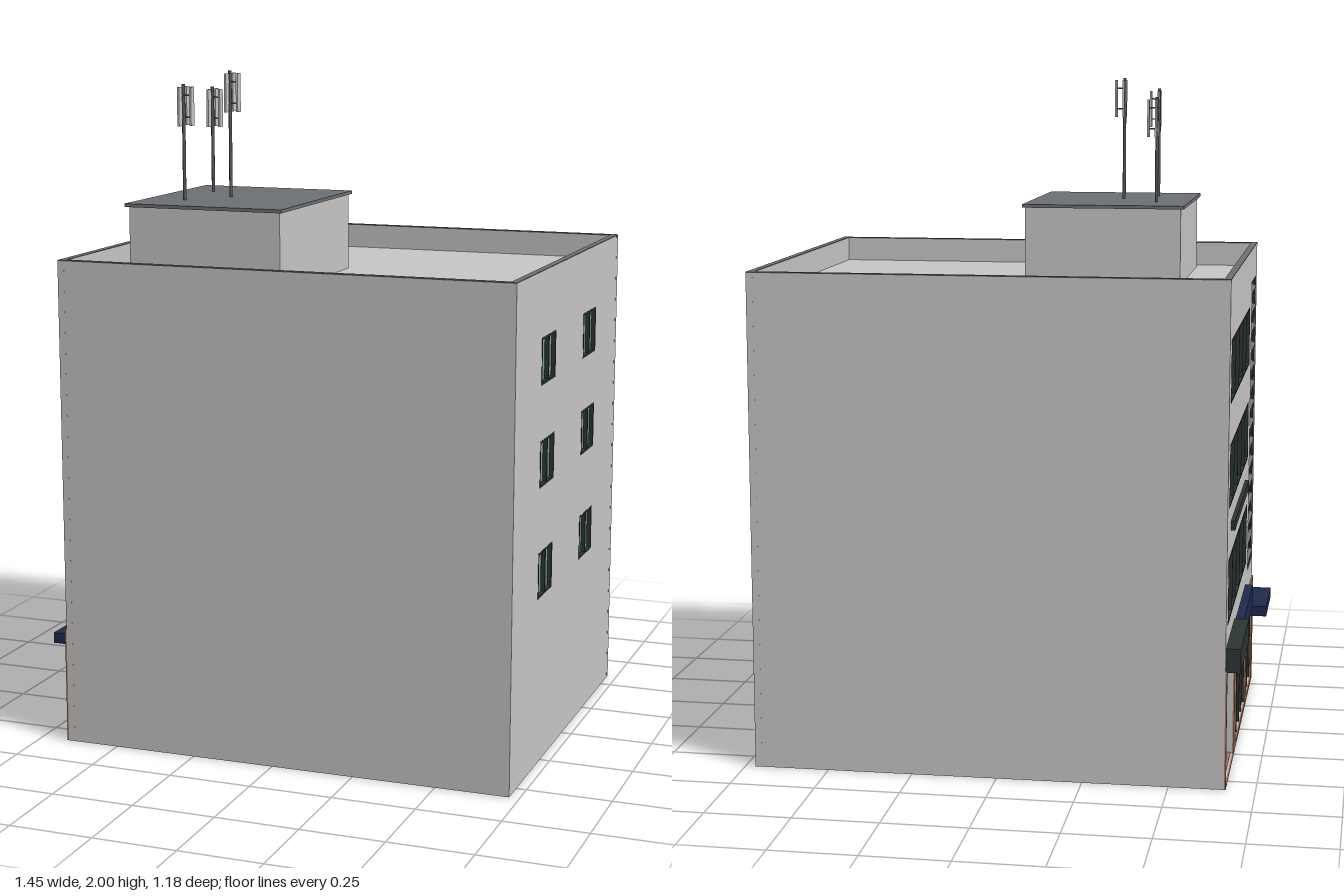
import * as THREE from 'three';

const mat = (name, color) => new THREE.MeshStandardMaterial({ name, color });

export function createModel() {
  const M = {
    wall: mat('pale concrete', 0xc9c7c5),
    trim: mat('slate grey', 0x6d7176),
    glass: mat('teal glass', 0x7f9f9b),
    dark: mat('dark green frame', 0x2c3633),
    navy: mat('navy', 0x1f2b4d),
    brown: mat('brown stone', 0xa07562),
    metal: mat('mast metal', 0x55585b),
  };
  const root = new THREE.Group();
  root.name = 'building';
  const T = 0.02, H = 1.465, ROOF = 1.39;

  // Box given by its low and high corners
  function box(parent, name, m, x0, x1, y0, y1, z0, z1) {
    const mesh = new THREE.Mesh(new THREE.BoxGeometry(x1 - x0, y1 - y0, z1 - z0), m);
    mesh.position.set((x0 + x1) / 2, (y0 + y1) / 2, (z0 + z1) / 2);
    mesh.name = name;
    parent.add(mesh);
    return mesh;
  }
  const rect = (P, [a, b, c, d]) => {
    const p = new P();
    p.moveTo(a, c); p.lineTo(b, c); p.lineTo(b, d); p.lineTo(a, d); p.closePath();
    return p;
  };
  // Upright slab with rectangular holes, each [u0, u1, v0, v1]
  function slab(parent, name, m, outer, holes, w0, depth) {
    const s = rect(THREE.Shape, outer);
    s.holes = holes.map(h => rect(THREE.Path, h));
    const mesh = new THREE.Mesh(new THREE.ExtrudeGeometry(s, { depth, bevelEnabled: false }), m);
    mesh.position.z = w0;
    mesh.name = name;
    parent.add(mesh);
  }
  // Wall from P to Q in plan; local x runs along it, local z points outwards
  function wall(name, P, Q, holes = []) {
    const g = new THREE.Group();
    g.name = name;
    const dx = Q[0] - P[0], dz = Q[1] - P[1], L = Math.hypot(dx, dz);
    g.position.set(P[0], 0, P[1]);
    g.rotation.y = Math.atan2(-dz, dx);
    slab(g, name + 'Panel', M.wall, [0, L, 0, H - 0.003], holes, -T, T);
    box(g, 'parapetCap', M.trim, 0, L, H - 0.003, H, -T, 0);
    root.add(g);
    return g;
  }
  // Framed window with upright glazing bars, set back in its hole
  function windowUnit(g, name, [a, b, c, d], panes, f = 0.006) {
    box(g, name + 'Glass', M.glass, a, b, c, d, -0.016, -0.012);
    const step = (b - a - f) / panes, holes = [];
    for (let i = 0; i < panes; i++) holes.push([a + f + i * step, a + (i + 1) * step, c + f, d - f]);
    slab(g, name + 'Frame', M.dark, [a, b, c, d], holes, -0.012, 0.013);
  }

  // Slightly skewed plan
  const A = [-0.66, -0.577], B = [0.72, -0.59], C = [0.72, 0.573], D = [-0.66, 0.588];
  wall('frontWall', D, C);
  wall('backWall', B, A);

  // Left wall with two columns of paired windows
  const sideHoles = [];
  for (const y of [0.505, 0.835, 1.135])
    for (const z of [0.305, -0.165]) sideHoles.push([C[1] - z, C[1] - z + 0.15, y, y + 0.137]);
  const side = wall('leftWall', C, B, sideHoles);
  sideHoles.forEach(h => windowUnit(side, 'sideWindow', h, 2));

  // Street facade on the right side, u measured along z
  const u = z => z - A[1];
  const bands = [[0.47, 0.66], [0.81, 0.99], [1.11, 1.29]].map(([c, d]) => [u(-0.52), u(0.255), c, d]);
  const louver = [u(0.35), u(0.55), 0.42, 1.36];
  const shops = [[u(-0.18), u(0.25), 0.014, 0.34], [u(0.305), u(0.535), 0.014, 0.29]];
  const entry = [u(-0.567), u(-0.25), 0.004, 0.345];
  const street = wall('streetFacade', A, D, [...bands, louver, ...shops, entry]);
  bands.forEach(h => windowUnit(street, 'ribbonWindow', h, 5));
  slab(street, 'stoneCladding', M.brown, [0, u(D[1]), 0, 0.35], [...shops, entry].map(h => [h[0], h[1], h[2], Math.min(h[3], 0.345)]), 0, 0.005);

  // Shop fronts
  shops.forEach(([a, b, c, d], k) => {
    box(street, 'shopGlass', M.dark, a, b, c, d, -0.018, -0.012);
    const n = k ? 2 : 4, w = (b - a) / n;
    for (let i = 0; i <= n; i++) {
      const x = Math.min(Math.max(a + i * w, a + 0.004), b - 0.004);
      box(street, 'shopMullion', M.dark, x - 0.004, x + 0.004, c, d, -0.012, 0);
    }
    box(street, 'shopRail', M.dark, a, b, d - 0.01, d, -0.012, 0);
  });

  // Louvred shaft: framed panel with a stack of slats
  const [la, lb, lc, ld] = louver, N = 15, pitch = (ld - lc) / N;
  box(street, 'louverBack', M.trim, la, lb, lc, ld, -0.019, -0.015);
  const gaps = [];
  for (let i = 0; i < N; i++) gaps.push([la + 0.008, lb - 0.008, lc + i * pitch + 0.006, lc + (i + 1) * pitch - 0.006]);
  slab(street, 'louverFrame', M.dark, louver, gaps, -0.015, 0.013);
  gaps.forEach(([a, b, c, d]) => {
    const s = box(street, 'louverSlat', M.trim, a, b, (c + d) / 2 - 0.003, (c + d) / 2 + 0.003, -0.016, 0.002);
    s.rotation.x = 0.5;
  });

  // Signs and canopies
  box(street, 'entranceCanopy', M.dark, u(-0.572), u(-0.235), 0.345, 0.415, 0, 0.043);
  box(street, 'shopSign', M.navy, u(-0.19), u(0.252), 0.335, 0.4, 0, 0.025);
  box(street, 'shopCanopy', M.navy, u(0.29), u(0.545), 0.288, 0.32, 0, 0.066);
  box(street, 'signBar', M.dark, u(-0.445), u(0.16), 0.73, 0.758, 0, 0.012);

  // Recessed entrance passage
  const X0 = -0.655, X1 = 0.2, Z0 = -0.567, Z1 = -0.25;
  const passage = new THREE.Group();
  passage.name = 'entrancePassage';
  root.add(passage);
  box(passage, 'passageFloor', M.brown, X0, X1, 0, 0.006, Z0, Z1);
  box(passage, 'passageCeiling', M.wall, X0 + 0.01, X1, 0.345, 0.351, Z0, Z1);
  box(passage, 'passageSide', M.brown, X0 + 0.01, X1, 0.006, 0.345, Z1, Z1 + 0.006);
  box(passage, 'passageSide', M.brown, X0 + 0.01, X1, 0.006, 0.345, Z0 - 0.001, Z0 + 0.005);
  box(passage, 'passageDoor', M.dark, X1 - 0.006, X1, 0.006, 0.345, Z0, Z1);

  // Roof deck and rooftop room
  const deck = new THREE.Shape([A, B, C, D].map(([x, z]) =>
    new THREE.Vector2(x - Math.sign(x) * 0.01, -z + Math.sign(z) * 0.01)));
  const roof = new THREE.Mesh(new THREE.ExtrudeGeometry(deck, { depth: 0.02, bevelEnabled: false }), M.wall);
  roof.rotation.x = -Math.PI / 2;
  roof.position.y = ROOF - 0.02;
  roof.name = 'roofDeck';
  root.add(roof);
  box(root, 'roofRoom', M.wall, -0.47, 0, ROOF, 1.618, -0.063, 0.497);
  box(root, 'roofRoomLid', M.trim, -0.48, 0.008, 1.618, 1.628, -0.073, 0.507);

  // Antenna masts, each with three panels
  for (const [x, z, top] of [[-0.38, 0.095, 1.945], [-0.265, 0.227, 2], [-0.36, 0.35, 1.965]]) {
    const g = new THREE.Group();
    g.name = 'antenna';
    g.position.set(x, 0, z);
    root.add(g);
    const mast = new THREE.Mesh(new THREE.CylinderGeometry(0.005, 0.005, top - 1.625, 10), M.metal);
    mast.position.y = (top + 1.625) / 2;
    mast.name = 'mast';
    g.add(mast);
    const y0 = top - 0.12, y1 = top - 0.007;
    for (const [px, pz] of [[0, -0.027], [0, 0.027], [0.026, 0]])
      box(g, 'antennaPanel', M.wall, px - 0.003, px + 0.003, y0, y1, pz - 0.0115, pz + 0.0115);
    for (const y of [y0 + 0.025, y1 - 0.025]) {
      box(g, 'bracket', M.metal, -0.002, 0.002, y - 0.002, y + 0.002, -0.02, 0.02);
      box(g, 'bracket', M.metal, 0, 0.024, y - 0.002, y + 0.002, -0.002, 0.002);
    }
  }
  return root;
}
